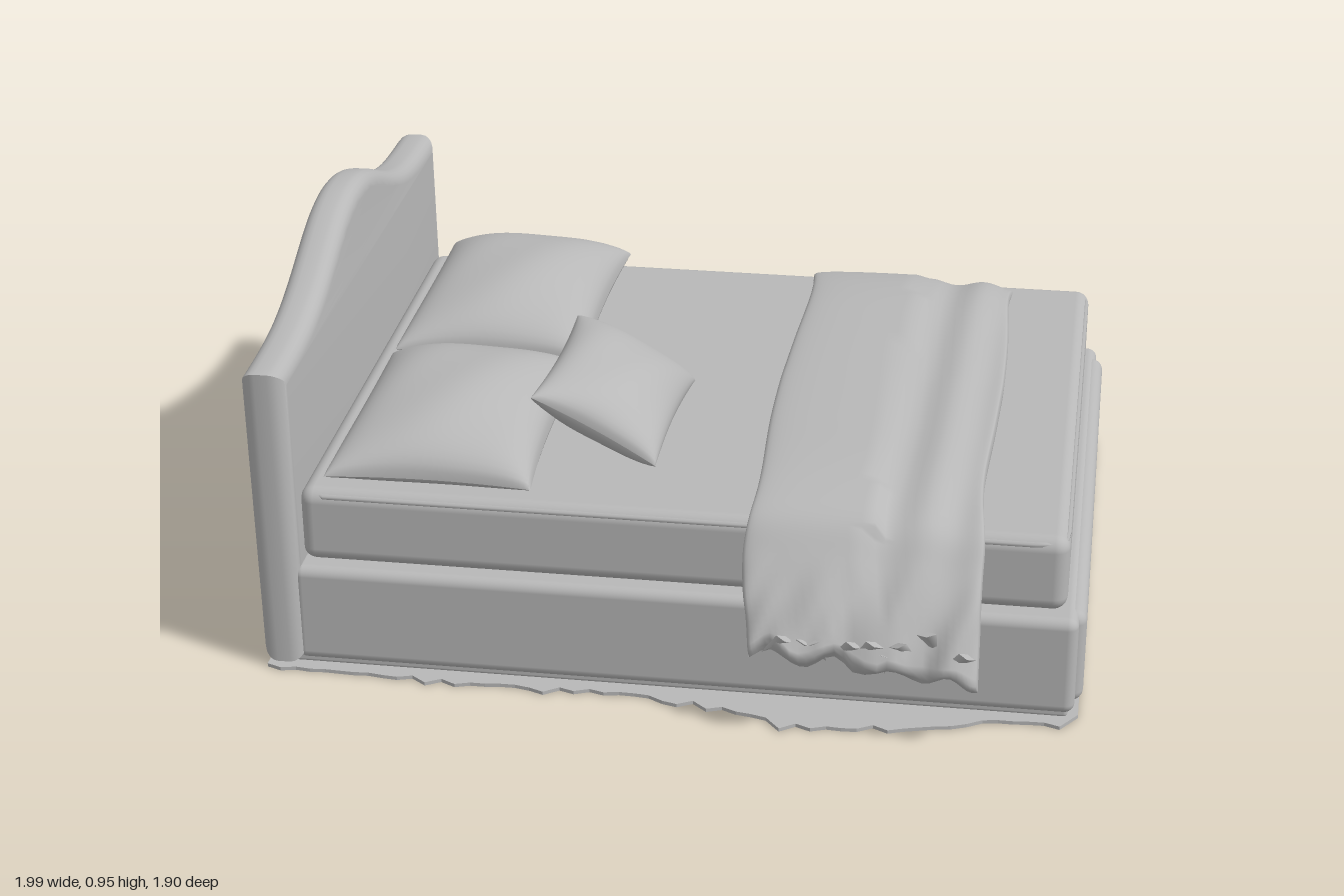
import * as THREE from 'three';
import { toCreasedNormals } from 'three/addons/utils/BufferGeometryUtils.js';
import { RoundedBoxGeometry } from 'three/addons/geometries/RoundedBoxGeometry.js';
import { ParametricGeometry } from 'three/addons/geometries/ParametricGeometry.js';

const MID_Z = -0.035; // centre line of the bed frame

export function createModel() {
  const model = new THREE.Group();
  const grey = new THREE.MeshStandardMaterial({ color: 0xb8b8b8, side: THREE.DoubleSide });
  grey.name = 'soft grey';

  const add = (name, geometry, x = 0, y = 0, z = 0) => {
    const mesh = new THREE.Mesh(geometry, grey);
    mesh.name = name;
    mesh.position.set(x, y, z);
    model.add(mesh);
    return mesh;
  };
  // Rounded box given by its limits
  const block = (name, x0, x1, y0, y1, z0, z1, r) =>
    add(name, new RoundedBoxGeometry(x1 - x0, y1 - y0, z1 - z0, 4, r),
      (x0 + x1) / 2, (y0 + y1) / 2, (z0 + z1) / 2);
  const surface = (fn, nu, nv) => {
    const g = new ParametricGeometry(fn, nu, nv);
    g.computeVertexNormals();
    return g;
  };
  let seed = 7;
  const random = () => (seed = (seed * 16807) % 2147483647) / 2147483647;

  // Base and mattress
  block('base', -0.9, 0.975, 0.02, 0.272, -0.805, 0.745, 0.025);
  block('baseEndPanel', 0.88, 0.993, 0.025, 0.268, -0.75, 0.7, 0.03);
  block('mattress', -0.885, 0.945, 0.268, 0.46, -0.77, 0.703, 0.035);

  // Piping around the mattress
  const corners = [[-0.87, -0.73], [-0.84, -0.763], [0.9, -0.763], [0.938, -0.73],
    [0.938, 0.66], [0.9, 0.696], [-0.84, 0.696], [-0.87, 0.66]];
  const loop = new THREE.CurvePath();
  corners.forEach((c, i) => {
    const d = corners[(i + 1) % corners.length];
    loop.add(new THREE.LineCurve3(new THREE.Vector3(c[0], 0, c[1]), new THREE.Vector3(d[0], 0, d[1])));
  });
  add('mattressPiping', new THREE.TubeGeometry(loop, 160, 0.007, 6, true), 0, 0.443, 0);

  // Headboard with a raised, curved top
  const board = new THREE.Shape();
  board.moveTo(-0.795, 0.02);
  board.lineTo(0.795, 0.02);
  for (let i = 0; i <= 48; i++) {
    const z = 0.795 - (1.59 * i) / 48;
    board.lineTo(z, 0.785 + 0.17 * Math.exp(-Math.pow(Math.abs(z) / 0.36, 2.2)));
  }
  board.closePath();
  const boardGeo = new THREE.ExtrudeGeometry(board, {
    depth: 0.03, bevelThickness: 0.038, bevelSize: 0.038, bevelOffset: -0.038, bevelSegments: 5,
  });
  boardGeo.rotateY(-Math.PI / 2);
  const headboard = add('headboard', toCreasedNormals(boardGeo, 0.6), -0.912, 0, MID_Z);
  headboard.rotation.z = 0.016;

  // Pillow with pinched corners; up and down are the heights of its two faces
  const pillow = (name, w, d, up, down) => {
    const group = new THREE.Group();
    group.name = name;
    for (const h of [up, -down]) {
      const geo = surface((s, t, p) => {
        const u = Math.sin((s - 0.5) * Math.PI), v = Math.sin((t - 0.5) * Math.PI);
        const bulge = Math.pow(Math.max(0, (1 - u * u) * (1 - v * v)), 0.42);
        p.set(
          (w / 2) * u * (1 - 0.06 * (1 - v * v)),
          h * bulge * (1 + 0.03 * Math.sin(5 * u + 3 * v)),
          (d / 2) * v * (1 - 0.05 * (1 - u * u)) * (h > 0 ? 1 : -1));
      }, 26, 26);
      const half = new THREE.Mesh(geo, grey);
      half.name = h > 0 ? 'upperSide' : 'lowerSide';
      group.add(half);
    }
    model.add(group);
    return group;
  };
  pillow('backPillow', 0.5, 0.71, 0.125, 0.045).position.set(-0.573, 0.492, -0.4);
  pillow('frontPillow', 0.5, 0.7, 0.125, 0.045).position.set(-0.573, 0.492, 0.335);
  const cushion = pillow('cushion', 0.34, 0.49, 0.085, 0.08);
  cushion.position.set(-0.19, 0.57, 0.27);
  cushion.rotation.set(0, -0.05, -0.47, 'YZX');

  // Throw across the foot of the bed, swept between an outer and an inner curve
  const curve = (pts) => new THREE.SplineCurve(pts.map((p) => new THREE.Vector2(...p)));
  const outer = curve([[0, 0.522], [0.28, 0.522], [0.48, 0.52], [0.62, 0.505], [0.72, 0.475],
    [0.79, 0.41], [0.87, 0.315], [0.94, 0.2]]);
  const inner = curve([[0, 0.45], [0.28, 0.45], [0.48, 0.45], [0.62, 0.45], [0.7, 0.43],
    [0.74, 0.35], [0.79, 0.26], [0.86, 0.175]]);
  const power = (v) => Math.sign(v) * Math.pow(Math.abs(v), 0.3);
  const throwGeo = surface((a, b, p) => {
    const s = 2 * a - 1, e = Math.abs(s), side = Math.sign(s) || 1;
    const cap = Math.min(1, (1 - e) / 0.03), angle = b * Math.PI * 2;
    const around = Math.cos(angle) * (0.7 + 0.3 * Math.abs(Math.cos(angle)));
    const across = Math.sign(around) * Math.pow(Math.abs(around), 0.8);
    const drape = THREE.MathUtils.smoothstep(e, 0.68, 1);
    const x = 0.47 + 0.02 * drape + 0.272 * across + 0.008 * Math.sin(9 * s + 2 * across);
    const t = 0.5 + 0.5 * power(Math.sin(angle)) * cap;
    const o = outer.getPoint(e), n = inner.getPoint(e);
    // Folded layer on the head side, then wrinkles that grow towards the hem
    const layer = x < 0.495 ? 0.012 : -0.004 + 0.008 * Math.sin(x * 42 + s * 2);
    const wrinkle = drape * (0.016 * Math.sin(x * 34 + e * 9) + 0.01 * Math.sin(x * 71 + s * 31));
    const hem = drape * drape * (0.016 * Math.sin(x * 47 + side) - 0.02 * across);
    p.set(x,
      THREE.MathUtils.lerp(n.y, o.y + layer, t) + hem,
      side * (THREE.MathUtils.lerp(n.x, o.x, t) + wrinkle * t) - 0.012);
  }, 120, 72);
  add('throw', throwGeo);

  // Loose tatters at both hems of the throw
  for (const side of [-1, 1]) {
    for (let i = 0; i < 9; i++) {
      const x = 0.28 + 0.052 * i, y = 0.2 + random() * 0.07;
      const tatter = add('tatter', new THREE.ConeGeometry(0.024, 0.1, 4), x, y, side * (0.885 + random() * 0.02) - 0.012);
      tatter.scale.z = 0.3;
      tatter.rotation.set(side * 0.6 + Math.PI, 0, (random() - 0.5) * 1.6);
    }
  }

  // Thin floor sheet with ragged long edges
  const sheet = new THREE.Shape();
  sheet.moveTo(-0.97, -0.78);
  const edge = (x) => 0.785 + 0.035 * Math.pow(random(), 2) + 0.09 * Math.exp(-Math.pow((x - 0.38) / 0.25, 2));
  for (let i = 1; i < 54; i++) {
    const x = -0.97 + (1.95 * i) / 54;
    sheet.lineTo(x, -edge(x));
  }
  sheet.lineTo(0.985, -0.74);
  sheet.lineTo(0.985, 0.74);
  for (let i = 53; i > 0; i--) {
    const x = -0.97 + (1.95 * i) / 54;
    sheet.lineTo(x, edge(x));
  }
  sheet.lineTo(-0.97, 0.78);
  sheet.closePath();
  const sheetGeo = new THREE.ExtrudeGeometry(sheet, { depth: 0.009, bevelEnabled: false });
  sheetGeo.rotateX(-Math.PI / 2);
  add('floorSheet', sheetGeo, 0, 0, MID_Z + 0.012);
  // Underside filling the gap between sheet and base
  block('baseFoot', -0.95, 0.96, 0.005, 0.05, -0.79, 0.73, 0.01);

  return model;
}
